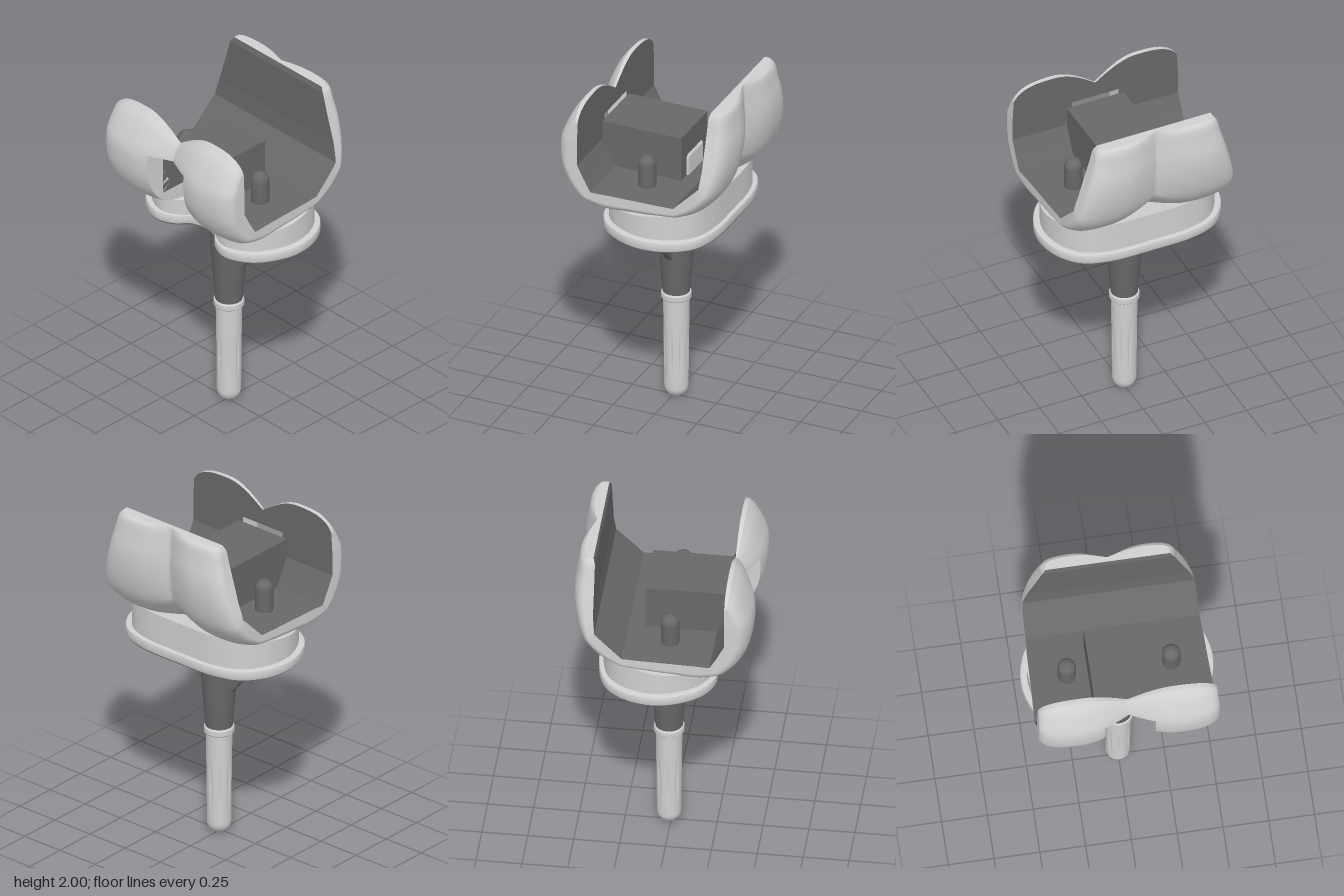
import * as THREE from 'three';
import { mergeGeometries, toCreasedNormals } from 'three/addons/utils/BufferGeometryUtils.js';
import { RoundedBoxGeometry } from 'three/addons/geometries/RoundedBoxGeometry.js';

const lightMetal = new THREE.MeshStandardMaterial({ color: 0xd0d0d0, side: THREE.DoubleSide });
lightMetal.name = 'lightMetal';
const darkMetal = new THREE.MeshStandardMaterial({ color: 0x686868, side: THREE.DoubleSide });
darkMetal.name = 'darkMetal';

// Side profile stations, front tip to back tip: inner z, inner y, outer z, outer y, half width
const STATIONS = [
  [0.35, 1.92, 0.375, 1.92, 0.49], [0.35, 1.88, 0.415, 1.87, 0.49],
  [0.35, 1.80, 0.46, 1.78, 0.493], [0.35, 1.72, 0.485, 1.71, 0.495],
  [0.35, 1.64, 0.49, 1.64, 0.495], [0.35, 1.58, 0.475, 1.53, 0.495],
  [0.31, 1.50, 0.43, 1.43, 0.495], [0.27, 1.43, 0.35, 1.355, 0.495],
  [0.18, 1.43, 0.22, 1.31, 0.49], [0.05, 1.43, 0.08, 1.315, 0.485],
  [-0.12, 1.43, -0.10, 1.33, 0.48], [-0.21, 1.43, -0.23, 1.35, 0.475],
  [-0.28, 1.50, -0.34, 1.40, 0.475], [-0.36, 1.58, -0.43, 1.50, 0.47],
  [-0.37, 1.68, -0.475, 1.63, 0.445], [-0.37, 1.80, -0.49, 1.78, 0.41],
  [-0.37, 1.90, -0.475, 1.90, 0.38], [-0.37, 1.97, -0.46, 1.98, 0.36],
  [-0.38, 2.00, -0.44, 2.00, 0.34],
];
const LAST = STATIONS.length - 1;
const SUB = 5;
const HOLE = 0.14;
const outerCurve = new THREE.CatmullRomCurve3(STATIONS.map(s => new THREE.Vector3(s[4], s[3], s[2])));

// Height of the front lobes' top edge across the width
function lobeTop(x) {
  if (x < 0.25) return 1.81 + 0.11 * Math.sin(Math.PI * x / 0.5);
  return 1.80 + 0.12 * Math.sqrt(Math.max(0, 1 - ((x - 0.25) / 0.245) ** 3));
}

// Shell thickness across the width: two lobes with a groove between
function lobeThickness(u) {
  if (u < 0.55) return 0.42 + 0.58 * Math.sin(Math.PI * u / 1.1);
  return 0.45 + 0.55 * Math.sqrt(Math.max(0, 1 - ((u - 0.55) / 0.45) ** 3));
}

// Point of the shell: s = station, xOf = x from half width, depth 0 inner to 1 outer
function shellPoint(s, xOf, depth) {
  const i = Math.min(Math.floor(s), LAST - 1), k = s - i;
  const mix = j => THREE.MathUtils.lerp(STATIONS[i][j], STATIONS[i + 1][j], k);
  const outer = outerCurve.getPoint(s / LAST);
  const x = xOf(outer.x), ax = Math.abs(x);
  const f = depth * lobeThickness(Math.min(1, ax / outer.x));
  const z = THREE.MathUtils.lerp(mix(0), outer.z, f);
  let y = THREE.MathUtils.lerp(mix(1), outer.y, f);
  if (s < 4 && y > 1.72) y = 1.72 + (y - 1.72) * (lobeTop(ax) - 1.72) / 0.2;
  return [x, y, z];
}

// Surface from a grid of points, fn(a, b) with a and b from 0 to 1
function grid(na, nb, fn) {
  const pos = [], idx = [];
  for (let a = 0; a <= na; a++) for (let b = 0; b <= nb; b++) pos.push(...fn(a / na, b / nb));
  for (let a = 0; a < na; a++) for (let b = 0; b < nb; b++) {
    const p = a * (nb + 1) + b, q = p + nb + 1;
    idx.push(p, q, p + 1, q, q + 1, p + 1);
  }
  const g = new THREE.BufferGeometry();
  g.setAttribute('position', new THREE.Float32BufferAttribute(pos, 3));
  g.setIndex(idx);
  g.computeVertexNormals();
  return g;
}

function add(parent, name, geometry, material, x = 0, y = 0, z = 0) {
  const mesh = new THREE.Mesh(geometry, material);
  mesh.name = name;
  mesh.position.set(x, y, z);
  parent.add(mesh);
  return mesh;
}

// One strip of the shell between stations s0 and s1; across(t, w) gives x
function addShell(parent, name, s0, s1, across) {
  const n = (s1 - s0) * SUB, m = 24;
  const at = a => s0 + (s1 - s0) * a;
  const pt = (a, t, d) => shellPoint(at(a), w => across(t, w), d);
  const skin = [grid(n, m, (a, t) => pt(a, t, 1))];
  for (const e of [0, 1]) {
    skin.push(grid(n, 1, (a, d) => pt(a, e, d)));
    skin.push(grid(m, 1, (t, d) => pt(e, t, d)));
  }
  add(parent, name + 'Outside', mergeGeometries(skin), lightMetal);
  add(parent, name + 'Lining', toCreasedNormals(grid(n, m, (a, t) => pt(a, t, 0)), 0.3), darkMetal);
}

// Kidney outline of the tray, extruded upwards from y
function kidney(scale, y, height, bevel) {
  const half = [[0.09, 0.18], [0.16, 0.25], [0.27, 0.285], [0.41, 0.22], [0.5, 0.08],
    [0.525, -0.05], [0.49, -0.2], [0.4, -0.31], [0.25, -0.362]];
  const all = [[0, 0.16], ...half, [0, -0.37], ...half.map(([x, z]) => [-x, z]).reverse()];
  const curve = new THREE.CatmullRomCurve3(
    all.map(([x, z]) => new THREE.Vector3(x * scale, -((z + 0.04) * scale - 0.04), 0)), true);
  const shape = new THREE.Shape(curve.getPoints(100).slice(0, -1).map(p => new THREE.Vector2(p.x, p.y)));
  const g = new THREE.ExtrudeGeometry(shape, { depth: height - 2 * bevel, bevelEnabled: bevel > 0,
    bevelSize: bevel, bevelThickness: bevel, bevelOffset: -bevel, bevelSegments: 2 });
  g.rotateX(-Math.PI / 2).translate(0, y + bevel, 0);
  return g;
}

export function createModel() {
  const model = new THREE.Group();
  model.name = 'kneeJoint';

  // Upper shell: two condyles, the bridge over the front opening and the centre of the back flange
  const shell = new THREE.Group();
  shell.name = 'upperShell';
  model.add(shell);
  for (const side of [1, -1]) {
    addShell(shell, side > 0 ? 'leftCondyle' : 'rightCondyle', 0, LAST,
      (t, w) => side * (HOLE + (w - HOLE) * Math.sin(t * Math.PI / 2)));
  }
  const middle = t => HOLE * (2 * t - 1);
  addShell(shell, 'frontBridge', 0, 3, middle);
  addShell(shell, 'backFlangeCentre', 10, LAST, middle);

  // Open box between the condyles
  add(shell, 'boxRoof', new THREE.BoxGeometry(0.34, 0.03, 0.47), darkMetal, 0, 1.675, 0.115);
  add(shell, 'boxBack', new THREE.BoxGeometry(0.34, 0.26, 0.025), darkMetal, 0, 1.56, -0.1075);
  for (const side of [1, -1]) {
    add(shell, 'boxWall', new THREE.BoxGeometry(0.03, 0.27, 0.47), darkMetal, side * 0.155, 1.555, 0.115);
    add(shell, 'peg', new THREE.CapsuleGeometry(0.05, 0.12, 8, 24), darkMetal, side * 0.285, 1.50, 0.03);
  }

  // Bearing insert with a top that rises to the back, and its centre post
  const insert = kidney(0.93, 1.21, 0.12, 0);
  const p = insert.attributes.position;
  for (let i = 0; i < p.count; i++) {
    if (p.getY(i) > 1.3) p.setY(i, 1.31 + (0.26 - p.getZ(i)) * 0.14);
  }
  add(model, 'bearingInsert', toCreasedNormals(insert, 0.6), lightMetal);
  add(model, 'insertPost', new RoundedBoxGeometry(0.22, 0.28, 0.16, 4, 0.03), lightMetal, 0, 1.42, -0.05);
  add(model, 'insertRidge', new RoundedBoxGeometry(0.25, 0.18, 0.2, 4, 0.04), lightMetal, 0, 1.35, 0.03);
  const bar = new THREE.CylinderGeometry(0.033, 0.033, 0.28, 20).rotateZ(Math.PI / 2);
  add(model, 'crossBar', bar, lightMetal, 0, 1.45, 0.11);

  // Tray with dark underside
  add(model, 'tray', toCreasedNormals(kidney(1, 1.165, 0.055, 0.008), 0.6), lightMetal);
  add(model, 'trayUnderside', toCreasedNormals(kidney(0.985, 1.16, 0.008, 0), 0.6), darkMetal);

  // Tapered keel with two side fins
  const stemZ = -0.012;
  add(model, 'keel', new THREE.CylinderGeometry(0.115, 0.074, 0.53, 40), darkMetal, 0, 0.905, stemZ);
  for (const side of [1, -1]) {
    const fin = new THREE.Shape([[0, 0.86], [0.095, 0.88], [0.13, 0.92], [0.305, 1.14], [0.305, 1.165], [0, 1.165]]
      .map(([x, y]) => new THREE.Vector2(side * x, y)));
    add(model, 'fin', new THREE.ExtrudeGeometry(fin, { depth: 0.034, bevelEnabled: false }),
      darkMetal, 0, 0, stemZ - 0.017);
  }

  // Collar and round-ended stem with shallow flutes
  const collar = [[0.06, 0.605], [0.077, 0.605], [0.083, 0.612], [0.083, 0.64], [0.077, 0.648], [0.06, 0.648]];
  add(model, 'collar', toCreasedNormals(
    new THREE.LatheGeometry(collar.map(([r, y]) => new THREE.Vector2(r, y)), 40), 0.6), lightMetal, 0, 0, stemZ);
  const profile = [];
  for (let i = 0; i <= 8; i++) {
    const a = i / 8 * Math.PI / 2;
    profile.push(new THREE.Vector2(0.066 * Math.sin(a), 0.066 * (1 - Math.cos(a))));
  }
  for (let i = 1; i <= 24; i++) profile.push(new THREE.Vector2(0.066 + 0.006 * i / 24, 0.066 + 0.55 * i / 24));
  const stem = new THREE.LatheGeometry(profile, 96);
  const q = stem.attributes.position;
  for (let i = 0; i < q.count; i++) {
    const y = q.getY(i);
    if (y < 0.14 || y > 0.44) continue;
    const depth = 0.1 * Math.sin(Math.PI * (y - 0.14) / 0.3);
    const k = 1 - depth * Math.max(0, Math.cos(8 * Math.atan2(q.getX(i), q.getZ(i)))) ** 4;
    q.setX(i, q.getX(i) * k);
    q.setZ(i, q.getZ(i) * k);
  }
  stem.computeVertexNormals();
  add(model, 'stem', stem, lightMetal, 0, 0, stemZ);

  return model;
}
